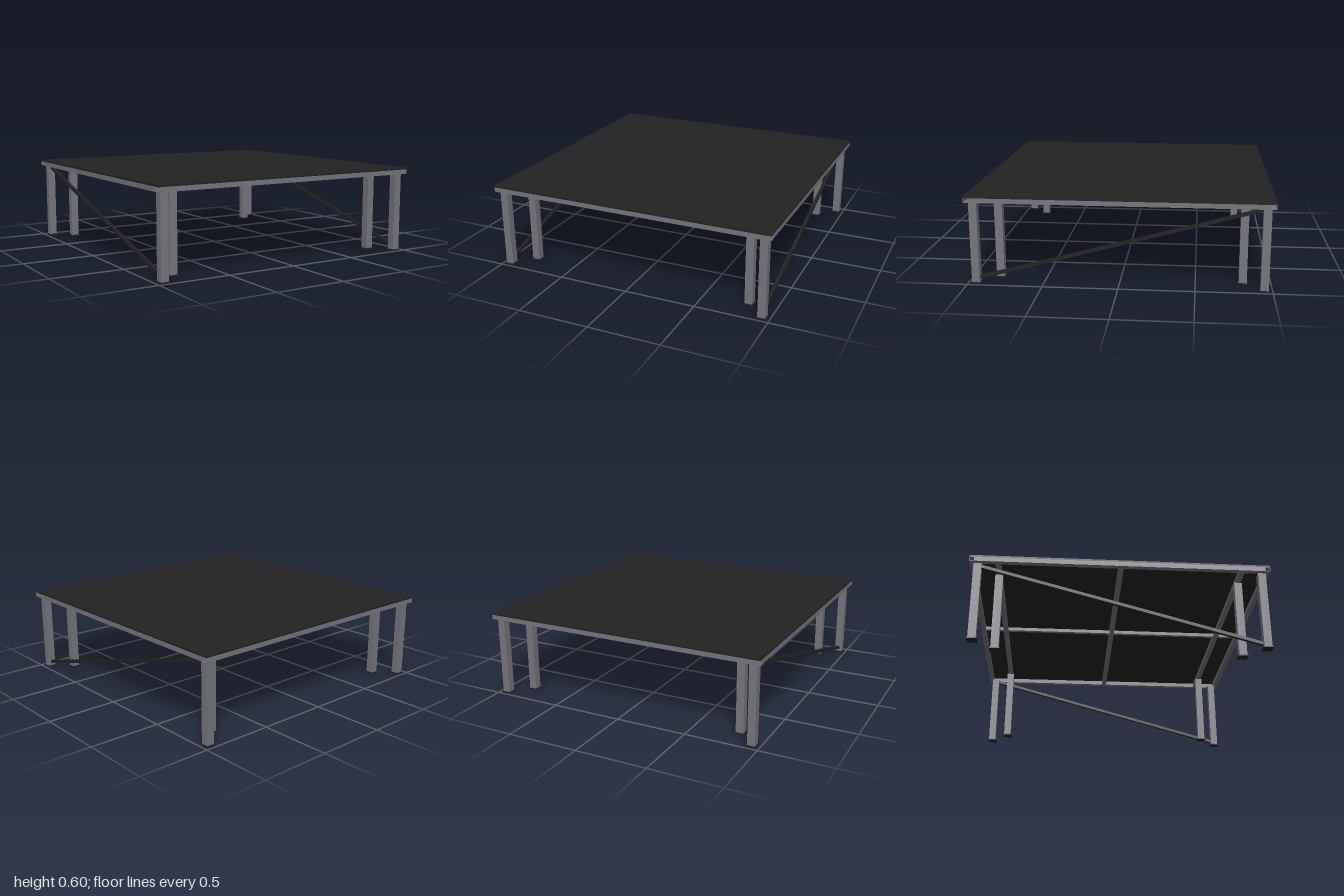
import * as THREE from 'three';

export function createModel() {
  const model = new THREE.Group();
  const steel = new THREE.MeshStandardMaterial({ name: 'grey steel', color: 0x75757d });
  const black = new THREE.MeshStandardMaterial({ name: 'black', color: 0x222222 });

  const DECK_BOTTOM = 0.588, FRAME_BOTTOM = 0.556;

  function add(name, geometry, material, x, y, z) {
    const mesh = new THREE.Mesh(geometry, material);
    mesh.name = name;
    mesh.position.set(x, y, z);
    model.add(mesh);
    return mesh;
  }

  // Hollow rectangular tube, centred, running along z
  function tube(width, height, length, wall = 0.003) {
    const rect = (target, w, h) => {
      target.moveTo(-w / 2, -h / 2);
      target.lineTo(w / 2, -h / 2);
      target.lineTo(w / 2, h / 2);
      target.lineTo(-w / 2, h / 2);
      target.closePath();
      return target;
    };
    const shape = rect(new THREE.Shape(), width, height);
    shape.holes.push(rect(new THREE.Path(), width - 2 * wall, height - 2 * wall));
    const geometry = new THREE.ExtrudeGeometry(shape, { depth: length, bevelEnabled: false });
    return geometry.translate(0, 0, -length / 2);
  }

  // Deck
  add('deck', new THREE.BoxGeometry(2, 0.012, 2), black, 0, 0.594, 0);

  // Frame beams hang from the underside of the deck
  const frameHeight = DECK_BOTTOM - FRAME_BOTTOM;
  const frameY = (DECK_BOTTOM + FRAME_BOTTOM) / 2;
  for (const s of [-1, 1]) {
    add('endRail', tube(0.035, frameHeight, 2).rotateY(Math.PI / 2), steel, 0, frameY, s * 0.9825);
    add('sideRail', tube(0.035, frameHeight, 1.93), steel, s * 0.9825, frameY, 0);
    add('innerCrossBeam', tube(0.035, frameHeight, 1.93).rotateY(Math.PI / 2), steel, 0, frameY, s * 0.813);
  }
  add('middleCrossBeam', tube(0.035, frameHeight, 1.93).rotateY(Math.PI / 2), steel, 0, frameY, 0);

  // Lighter stringers between the cross beams
  for (const s of [-1, 1]) {
    add('stringer', tube(0.025, 0.025, 0.778), steel, 0, DECK_BOTTOM - 0.0125, s * 0.4065);
    add('stringerEnd', tube(0.025, 0.025, 0.1345), steel, 0, DECK_BOTTOM - 0.0125, s * 0.89775);
  }

  // Two legs with foot plates on the diagonal of each corner
  for (const sx of [-1, 1]) {
    for (const sz of [-1, 1]) {
      for (const d of [0.813, 0.947]) {
        const legHeight = FRAME_BOTTOM - 0.008;
        add('leg', new THREE.BoxGeometry(0.053, legHeight, 0.053), steel, sx * d, 0.008 + legHeight / 2, sz * d);
        add('footPlate', new THREE.BoxGeometry(0.066, 0.008, 0.066), black, sx * d, 0.004, sz * d);
      }
    }
  }

  // Diagonal brace on each side, low at the front and high at the back
  const low = new THREE.Vector3(0, 0.034, 0.935);
  const high = new THREE.Vector3(0, 0.546, -0.935);
  const run = high.clone().sub(low);
  for (const s of [-1, 1]) {
    const brace = add('brace', new THREE.BoxGeometry(0.022, 0.022, run.length()), black,
      s * 0.947, (low.y + high.y) / 2, 0);
    brace.rotation.x = Math.atan2(run.y, -run.z);
  }

  return model;
}
